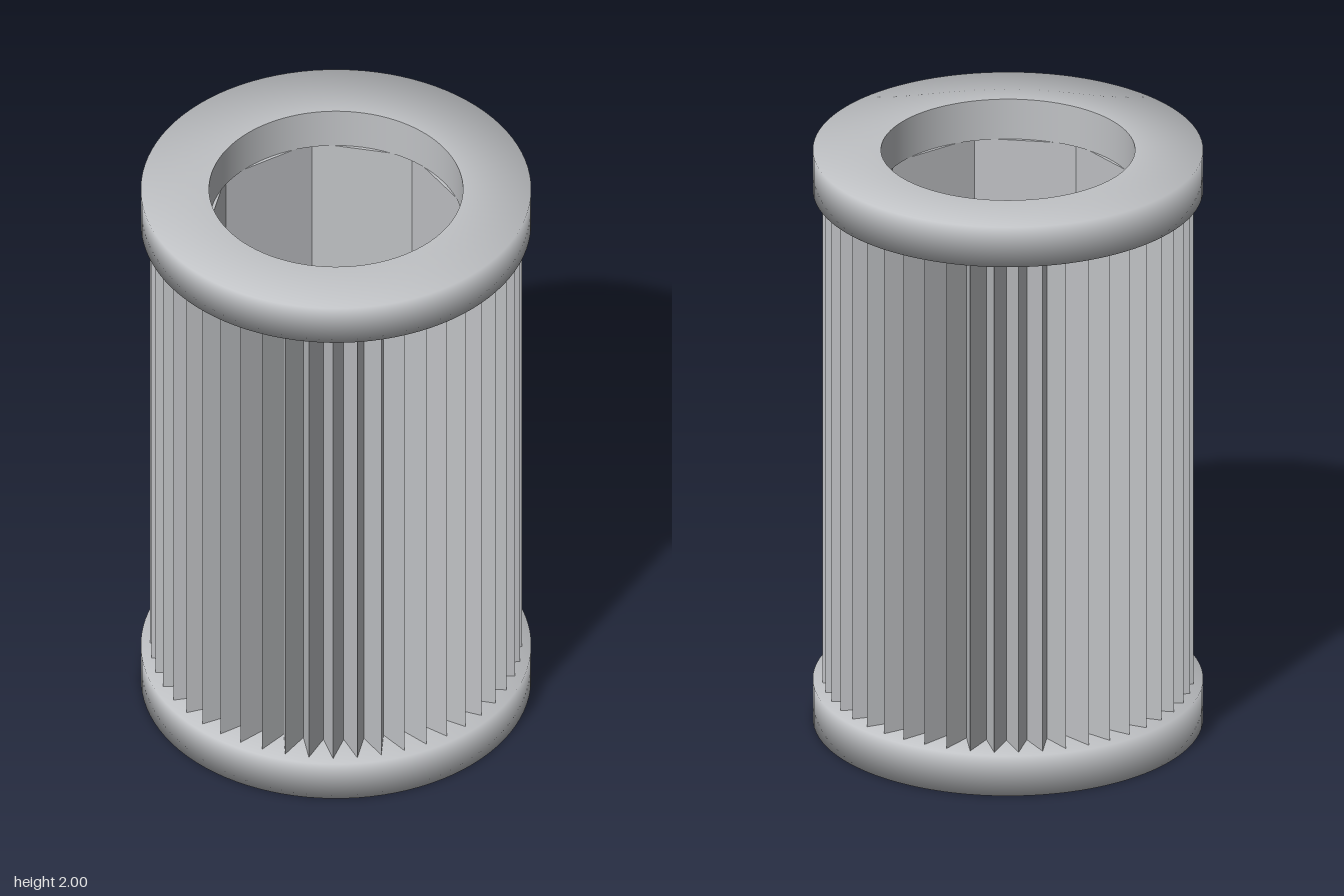
import * as THREE from 'three';

const PLEATS = 48;
const CAP_H = 0.14, CAP_R = 0.63, HOLE_R = 0.41;
const HEIGHT = 2;

// Points on a circle whose radius alternates between the given radii
function ringPoints(count, radii) {
  return Array.from({ length: count }, (_, i) => {
    const a = (i / count) * Math.PI * 2;
    const r = radii[i % radii.length];
    return new THREE.Vector2(r * Math.cos(a), r * Math.sin(a));
  });
}

function lathe(profile, material, name) {
  const points = profile.map(([r, y]) => new THREE.Vector2(r, y));
  const mesh = new THREE.Mesh(new THREE.LatheGeometry(points, 96), material);
  mesh.name = name;
  return mesh;
}

// Flat ring with softly shaded outer edges and a crisp bore
function endCap(name, y, material) {
  const cap = new THREE.Group();
  cap.name = name;
  cap.add(
    lathe([[HOLE_R, 0], [CAP_R, 0], [CAP_R, CAP_H], [HOLE_R, CAP_H]], material, name + 'Ring'),
    lathe([[HOLE_R, CAP_H], [HOLE_R, 0]], material, name + 'Bore')
  );
  cap.position.y = y;
  return cap;
}

export function createModel() {
  const model = new THREE.Group();
  model.name = 'filterCartridge';

  const grey = new THREE.MeshStandardMaterial({ color: 0xc0c2c5 });
  grey.name = 'light grey';

  // Pleated body with an eight-sided core opening
  const outline = new THREE.Shape(ringPoints(PLEATS * 2, [0.5, 0.6]));
  outline.holes.push(new THREE.Path(ringPoints(8, [0.432]).reverse()));
  const bodyGeometry = new THREE.ExtrudeGeometry(outline, {
    depth: HEIGHT - 2 * CAP_H,
    bevelEnabled: false
  });
  bodyGeometry.rotateX(-Math.PI / 2);
  const body = new THREE.Mesh(bodyGeometry, grey);
  body.name = 'pleatedBody';
  body.position.y = CAP_H;
  model.add(body);

  // End caps
  model.add(endCap('bottomCap', 0, grey), endCap('topCap', HEIGHT - CAP_H, grey));

  return model;
}
